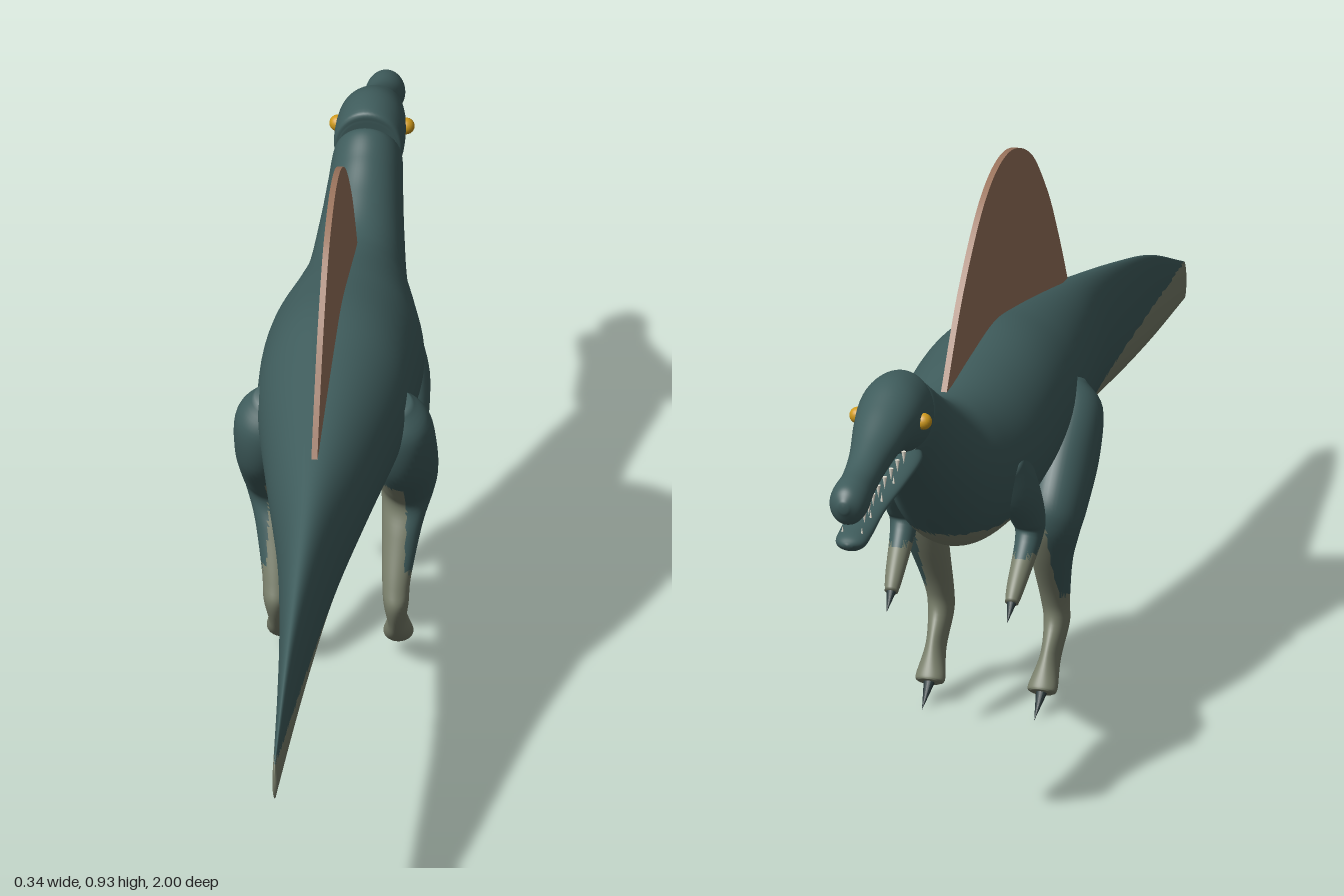
import * as THREE from 'three';

const mat = (name, color, extra = {}) => Object.assign(new THREE.MeshStandardMaterial({ color, ...extra }), { name });

// Smooth skin through oval sections. Each row: [frontZ, frontY, backZ, backY, centreX, halfWidth],
// where "front" is the upper/leading edge and "back" the lower/trailing edge.
// isPale(x, y, z) picks the second material for a face.
function loft(name, rows, materials, isPale = () => false, side = 1, sub = 6, seg = 48) {
  const lead = new THREE.CatmullRomCurve3(rows.map(r => new THREE.Vector3(r[4] * side, r[1], r[0])), false, 'catmullrom', 0.5);
  const trail = new THREE.CatmullRomCurve3(rows.map(r => new THREE.Vector3(r[5], r[3], r[2])), false, 'catmullrom', 0.5);
  const rings = (rows.length - 1) * sub;
  const pos = [];
  const groups = [[], []];
  for (let i = 0; i <= rings; i++) {
    const a = lead.getPoint(i / rings), b = trail.getPoint(i / rings);
    for (let j = 0; j < seg; j++) {
      const t = (j / seg) * Math.PI * 2, c = Math.cos(t) / 2;
      pos.push(a.x + Math.max(b.x, 0.001) * Math.sin(t), (a.y + b.y) / 2 + (a.y - b.y) * c, (a.z + b.z) / 2 + (a.z - b.z) * c);
    }
  }
  // Centre points of the end caps
  for (const t of [0, 1]) {
    const a = lead.getPoint(t), b = trail.getPoint(t);
    pos.push(a.x, (a.y + b.y) / 2, (a.z + b.z) / 2);
  }
  const face = (...v) => {
    const mid = k => v.reduce((sum, n) => sum + pos[n * 3 + k], 0) / 3;
    groups[isPale(mid(0) * side, mid(1), mid(2)) ? 1 : 0].push(...v);
  };
  const start = (rings + 1) * seg, last = rings * seg;
  for (let j = 0; j < seg; j++) {
    const k = (j + 1) % seg;
    for (let i = 0; i < rings; i++) {
      const p = i * seg, q = p + seg;
      face(p + j, p + k, q + j);
      face(p + k, q + k, q + j);
    }
    face(start, k, j);
    face(start + 1, last + j, last + k);
  }
  const geo = new THREE.BufferGeometry();
  geo.setAttribute('position', new THREE.Float32BufferAttribute(pos, 3));
  geo.setIndex([...groups[0], ...groups[1]]);
  geo.addGroup(0, groups[0].length, 0);
  geo.addGroup(groups[0].length, groups[1].length, 1);
  geo.computeVertexNormals();
  const mesh = new THREE.Mesh(geo, materials);
  mesh.name = name;
  return mesh;
}

// Cone running from a base point to its tip
function spike(name, from, to, radius, material) {
  const a = new THREE.Vector3(...from), b = new THREE.Vector3(...to), dir = b.clone().sub(a);
  const mesh = new THREE.Mesh(new THREE.ConeGeometry(radius, dir.length(), 10), material);
  mesh.position.copy(a).add(b).multiplyScalar(0.5);
  mesh.quaternion.setFromUnitVectors(new THREE.Vector3(0, 1, 0), dir.normalize());
  mesh.name = name;
  return mesh;
}

export function createModel() {
  const model = new THREE.Group();
  model.name = 'sailBackedDinosaur';
  const skin = mat('tealSkin', 0x3f5c5c);
  const pale = mat('paleBelly', 0x7a806c);
  const brown = mat('sailBrown', 0x9c755e, { side: THREE.DoubleSide });
  const yellow = mat('eyeYellow', 0xd09a1c);
  const dark = mat('clawDark', 0x2c3a3c);
  const ivory = mat('toothIvory', 0xe6e2d4);
  const hide = [skin, pale];

  // Tail, trunk and neck in one skin, with a pale underside
  model.add(loft('body', [
    [1.0, 0.40, 1.0, 0.335, 0, 0.004],
    [0.8, 0.477, 0.8, 0.33, 0, 0.015],
    [0.6, 0.53, 0.6, 0.335, 0, 0.03],
    [0.4, 0.575, 0.4, 0.35, 0, 0.052],
    [0.2, 0.615, 0.2, 0.368, 0, 0.088],
    [0.0, 0.65, 0.0, 0.374, 0, 0.122],
    [-0.13, 0.665, -0.13, 0.367, 0, 0.132],
    [-0.27, 0.65, -0.27, 0.345, 0, 0.13],
    [-0.39, 0.633, -0.37, 0.35, 0, 0.108],
    [-0.45, 0.638, -0.46, 0.41, 0, 0.085],
    [-0.52, 0.672, -0.56, 0.49, 0, 0.071],
    [-0.575, 0.705, -0.63, 0.55, 0, 0.063],
    [-0.625, 0.73, -0.68, 0.595, 0, 0.057],
    [-0.65, 0.70, -0.70, 0.615, 0, 0.045],
  ], hide, (x, y, z) => y < 0.402 - 0.012 * THREE.MathUtils.smoothstep(-z, 0, 0.3) && z > -0.45, 1, 8, 72));

  // Skull with long snout
  model.add(loft('skull', [
    [-0.645, 0.73, -0.66, 0.63, 0, 0.048],
    [-0.65, 0.75, -0.675, 0.612, 0, 0.058],
    [-0.715, 0.756, -0.72, 0.625, 0, 0.057],
    [-0.78, 0.73, -0.78, 0.638, 0, 0.047],
    [-0.85, 0.693, -0.85, 0.62, 0, 0.034],
    [-0.91, 0.668, -0.91, 0.602, 0, 0.03],
    [-0.96, 0.659, -0.955, 0.586, 0, 0.033],
    [-0.985, 0.65, -0.98, 0.587, 0, 0.027],
    [-1.0, 0.63, -0.998, 0.612, 0, 0.008],
  ], hide));

  // Lower jaw, hanging open
  model.add(loft('lowerJaw', [
    [-0.66, 0.635, -0.66, 0.60, 0, 0.035],
    [-0.70, 0.63, -0.70, 0.595, 0, 0.048],
    [-0.77, 0.61, -0.77, 0.582, 0, 0.042],
    [-0.85, 0.586, -0.85, 0.562, 0, 0.03],
    [-0.92, 0.57, -0.92, 0.54, 0, 0.028],
    [-0.96, 0.562, -0.955, 0.533, 0, 0.025],
    [-0.978, 0.552, -0.975, 0.542, 0, 0.008],
  ], hide));

  // Sail: a thin arched plate along the spine
  const arch = new THREE.Shape();
  arch.moveTo(0.30, 0.60);
  arch.splineThru([[0.247, 0.695], [0.18, 0.795], [0.08, 0.892], [-0.05, 0.933], [-0.18, 0.895],
    [-0.31, 0.775], [-0.41, 0.63]].map(p => new THREE.Vector2(...p)));
  arch.lineTo(-0.25, 0.61);
  arch.lineTo(0.0, 0.61);
  arch.closePath();
  const sailGeo = new THREE.ExtrudeGeometry(arch, { depth: 0.01, bevelEnabled: false, curveSegments: 40 });
  sailGeo.translate(0, 0, -0.005).rotateY(-Math.PI / 2);
  const sail = new THREE.Mesh(sailGeo, brown);
  sail.name = 'sail';
  model.add(sail);

  for (const s of [1, -1]) {
    const label = s > 0 ? 'left' : 'right';

    // Hind leg: thigh, shin and foot
    model.add(loft(label + 'HindLeg', [
      [-0.05, 0.555, 0.0, 0.53, 0.1, 0.03],
      [-0.08, 0.525, 0.015, 0.475, 0.112, 0.05],
      [-0.145, 0.455, -0.01, 0.40, 0.116, 0.052],
      [-0.195, 0.385, -0.08, 0.33, 0.115, 0.05],
      [-0.2, 0.335, -0.11, 0.295, 0.113, 0.044],
      [-0.175, 0.275, -0.095, 0.245, 0.106, 0.034],
      [-0.125, 0.19, -0.065, 0.165, 0.1, 0.024],
      [-0.115, 0.145, -0.057, 0.125, 0.1, 0.021],
      [-0.145, 0.1, -0.09, 0.07, 0.099, 0.016],
      [-0.175, 0.055, -0.14, 0.03, 0.097, 0.025],
      [-0.18, 0.045, -0.152, 0.026, 0.097, 0.019],
    ], hide, (x, y) => y < 0.19 || (y < 0.36 && x < 0.115), s));
    model.add(spike(label + 'FootClaw', [0.097 * s, 0.042, -0.158], [0.097 * s, 0, -0.208], 0.011, dark));

    // Small bent arm
    model.add(loft(label + 'Arm', [
      [-0.385, 0.48, -0.30, 0.54, 0.085, 0.03],
      [-0.355, 0.42, -0.28, 0.47, 0.1, 0.034],
      [-0.315, 0.375, -0.245, 0.385, 0.108, 0.028],
      [-0.3, 0.355, -0.258, 0.33, 0.108, 0.022],
      [-0.355, 0.29, -0.332, 0.268, 0.105, 0.015],
      [-0.373, 0.265, -0.355, 0.25, 0.104, 0.011],
    ], hide, (x, y) => y < 0.325, s));
    model.add(spike(label + 'HandClaw', [0.104 * s, 0.262, -0.36], [0.104 * s, 0.23, -0.392], 0.009, dark));

    // Eye
    const eye = new THREE.Mesh(new THREE.SphereGeometry(0.014, 20, 14), yellow);
    eye.position.set(0.057 * s, 0.688, -0.72);
    eye.name = label + 'Eye';
    model.add(eye);

    // Teeth along the upper and lower jaws
    for (let i = 0; i < 8; i++) {
      const t = i / 7, z = -0.765 - 0.18 * t;
      const x = s * (0.036 - 0.015 * Math.min(1, t * 1.6));
      const y = 0.648 - 0.047 * t;
      model.add(spike('upperTooth', [x, y, z], [x, y - 0.022, z], 0.004, ivory));
      if (i % 2) model.add(spike('lowerTooth', [x * 0.8, y - 0.047, z], [x * 0.8, y - 0.028, z], 0.003, ivory));
    }
  }
  return model;
}
